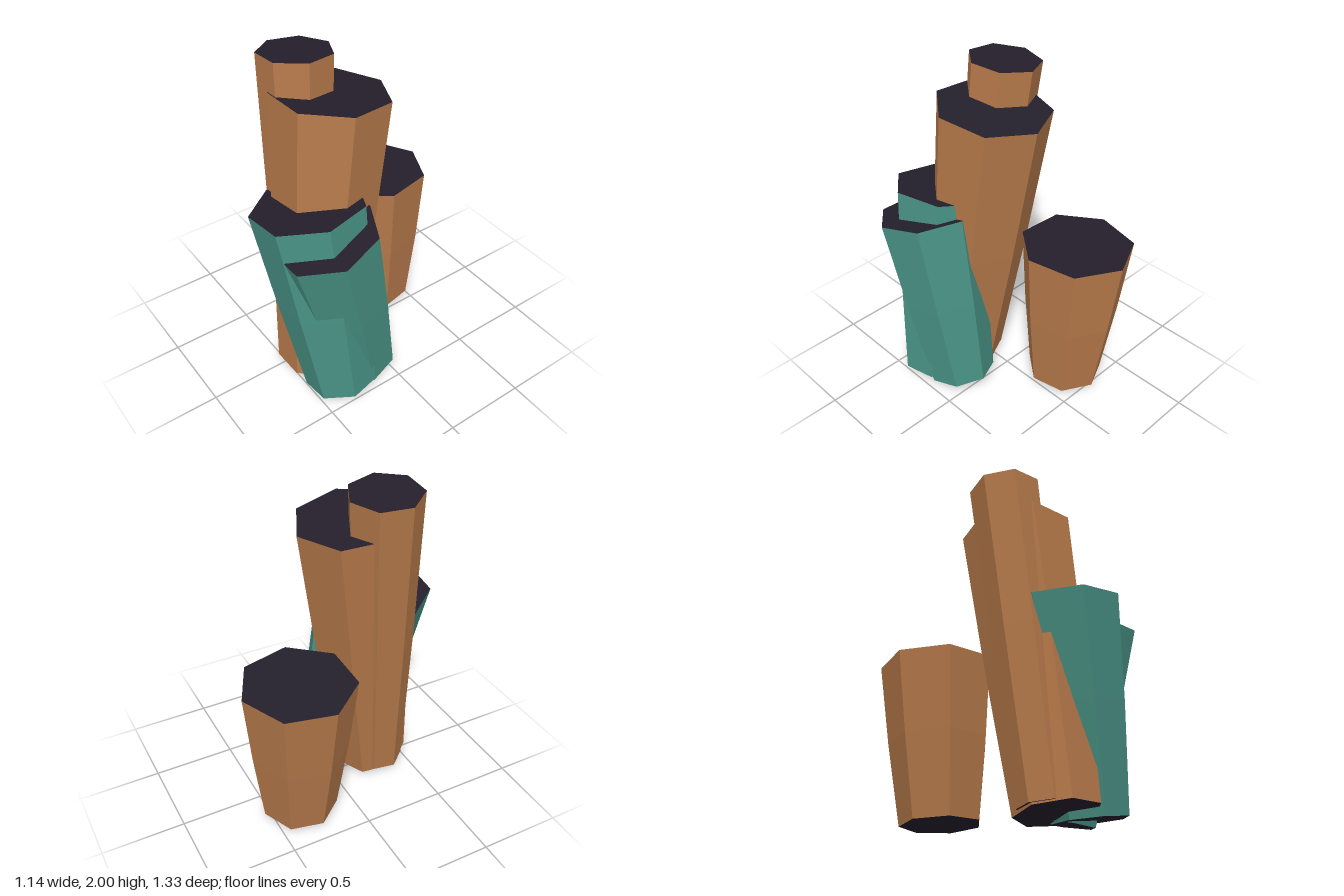
import * as THREE from 'three';

const SIDES = 7;

const paint = (color) => new THREE.MeshStandardMaterial({ color, flatShading: true });

// Leaning seven-sided column: widens upwards with a slight belly, ends cut square to its axis
function column(name, bottom, bottomRadius, top, topRadius, sideMaterial, capMaterial) {
  const geometry = new THREE.CylinderGeometry(1, 1, 1, SIDES, 2, false, Math.PI);
  const a = new THREE.Vector3(...bottom);
  const b = new THREE.Vector3(...top);
  const slopeX = (a.x - b.x) / (b.y - a.y);
  const slopeZ = (a.z - b.z) / (b.y - a.y);
  const p = geometry.attributes.position;
  const centre = new THREE.Vector3();
  for (let i = 0; i < p.count; i++) {
    const t = p.getY(i) + 0.5;
    const belly = 1 + 0.1 * t * (1 - t);
    const r = THREE.MathUtils.lerp(bottomRadius, topRadius, t) * belly;
    const dx = p.getX(i) * r;
    const dz = p.getZ(i) * r;
    centre.lerpVectors(a, b, t);
    p.setXYZ(i, centre.x + dx, centre.y + dx * slopeX + dz * slopeZ, centre.z + dz);
  }
  geometry.computeVertexNormals();
  const mesh = new THREE.Mesh(geometry, [sideMaterial, capMaterial, capMaterial]);
  mesh.name = name;
  return mesh;
}

export function createModel() {
  const group = new THREE.Group();
  group.name = 'columnCluster';
  const brown = paint(0xb5794a);
  const teal = paint(0x489184);
  const dark = paint(0x241f2c);

  // name, bottom centre, bottom radius, top centre, top radius, side material
  const columns = [
    ['shortBrownColumn', [-0.195, 0.05, -0.32], 0.23, [-0.245, 0.987, -0.33], 0.335, brown],
    ['middleBrownColumn', [0.07, 0.035, 0.32], 0.235, [-0.015, 1.785, 0.12], 0.33, brown],
    ['tallBrownColumn', [-0.03, 0.05, 0.335], 0.15, [-0.195, 1.98, 0.215], 0.21, brown],
    ['tallTealColumn', [0.325, 0.04, 0.31], 0.213, [0.115, 1.24, 0.37], 0.323, teal],
    ['shortTealColumn', [0.28, 0.05, 0.125], 0.2, [0.277, 1.135, 0.37], 0.296, teal],
  ];
  for (const spec of columns) group.add(column(...spec, dark));
  return group;
}
